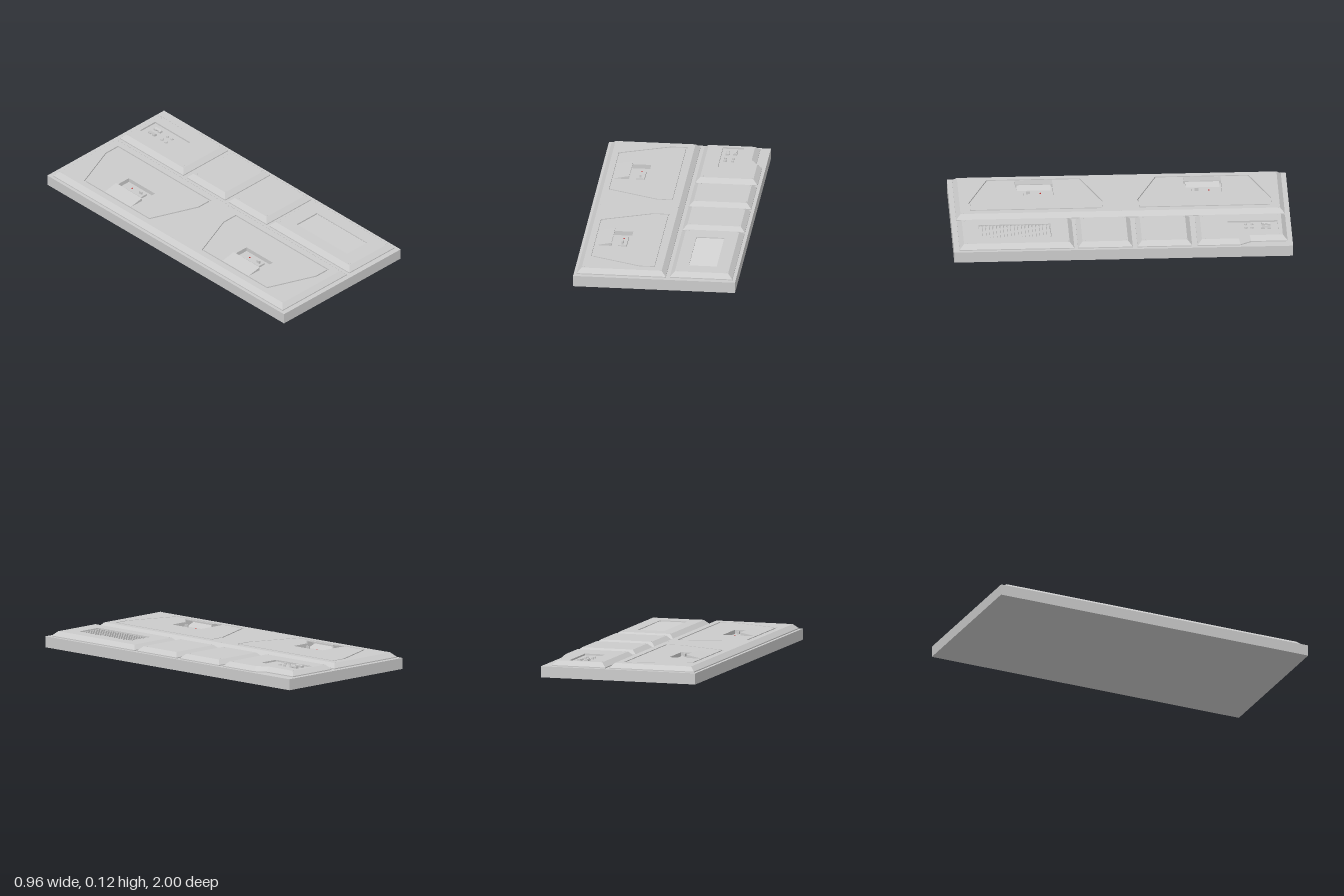
import * as THREE from 'three';

const BASE = 0.066, LIP = 0.072, TOP = 0.098;
const mat = new THREE.MeshStandardMaterial({ color: 0xcccccc, flatShading: true });
const red = new THREE.MeshStandardMaterial({ color: 0xd03030 });

// Rings are Vector2 (x, -z), counter-clockwise seen from above
const ring = pts => pts.map(([x, z]) => new THREE.Vector2(x, -z));
const rect = (x0, x1, z0, z1) => ring([[x0, z1], [x1, z1], [x1, z0], [x0, z0]]);

// Mitred inward offset of a ring
function inset(r, d) {
  const n = r.length;
  const normal = (a, b) => new THREE.Vector2(a.y - b.y, b.x - a.x).normalize();
  return r.map((p, i) => {
    const n1 = normal(r[(i + n - 1) % n], p), n2 = normal(p, r[(i + 1) % n]);
    return n1.clone().add(n2).multiplyScalar(d / (1 + n1.dot(n2))).add(p);
  });
}

function add(group, name, geo, x = 0, y = 0, z = 0, material = mat) {
  const m = new THREE.Mesh(geo, material);
  m.name = name;
  m.position.set(x, y, z);
  group.add(m);
  return m;
}

// Band between two rings; listing the upper ring first makes it face inward
function wall(group, name, a, ya, b, yb) {
  const v = [];
  a.forEach((p, i) => {
    const j = (i + 1) % a.length;
    const q = [[p, ya], [a[j], ya], [b[j], yb], [b[i], yb]];
    for (const k of [0, 1, 2, 0, 2, 3]) v.push(q[k][0].x, q[k][1], -q[k][0].y);
  });
  const g = new THREE.BufferGeometry();
  g.setAttribute('position', new THREE.Float32BufferAttribute(v, 3));
  g.computeVertexNormals();
  add(group, name, g);
}

// Flat upward face with holes
function face(group, name, outline, y, holes = []) {
  const s = new THREE.Shape(outline);
  s.holes = holes.map(h => new THREE.Path(h));
  add(group, name, new THREE.ShapeGeometry(s).rotateX(-Math.PI / 2), 0, y);
}

function recess(group, name, r, floorY) {
  wall(group, name + 'Walls', r, TOP, r, floorY);
  face(group, name + 'Floor', r, floorY);
}

// Raised panel with upright lip, bevelled rim and corner screws
function panel(name, outline, holes, screws) {
  const g = new THREE.Group();
  g.name = name;
  const top = inset(outline, 0.027);
  wall(g, 'lip', outline, BASE, outline, LIP);
  wall(g, 'bevel', outline, LIP, top, TOP);
  face(g, 'topFace', top, TOP, holes);
  const screw = new THREE.CylinderGeometry(0.008, 0.009, 0.002, 6);
  for (const [x, z] of screws) add(g, 'screw', screw, x, TOP + 0.001, z);
  return g;
}

// Pull handle: sloping hood over a sunken pocket with a latch
function handle(zc) {
  const g = new THREE.Group();
  g.name = 'pullHandle';
  const slab = (name, pts, depth, z) => add(g, name, new THREE.ExtrudeGeometry(
    new THREE.Shape(pts.map(p => new THREE.Vector2(...p))), { depth, bevelEnabled: false }), 0, 0, z);
  slab('hood', [[-0.387, TOP], [-0.36, TOP], [-0.295, 0.112], [-0.295, 0.117]], 0.22, zc - 0.11);
  for (const z of [zc - 0.11, zc + 0.102])
    slab('hoodCheek', [[-0.386, TOP - 0.001], [-0.296, TOP - 0.001], [-0.296, 0.1165]], 0.008, z);
  slab('pocketRamp', [[-0.357, 0.072], [-0.30, 0.072], [-0.357, 0.092]], 0.2, zc - 0.1);
  add(g, 'latchPlate', new THREE.BoxGeometry(0.05, 0.012, 0.13), -0.235, 0.078, zc);
  add(g, 'latchTab', new THREE.BoxGeometry(0.01, 0.018, 0.022), -0.235, 0.092, zc + 0.038);
  add(g, 'latchLamp', new THREE.CylinderGeometry(0.004, 0.004, 0.004, 8), -0.235, 0.086, zc - 0.035, red);
  return g;
}

export function createModel() {
  const model = new THREE.Group();
  model.name = 'wallPanel';
  add(model, 'backingSlab', new THREE.BoxGeometry(0.96, BASE, 2), 0, BASE / 2);

  // Large panel with two grooved hatches
  const hatches = [-0.5, 0.495].map(zc => ({
    zc,
    groove: ring([[0, zc + 0.395], [-0.1, zc + 0.395], [-0.398, zc + 0.275],
      [-0.398, zc - 0.275], [-0.1, zc - 0.395], [0, zc - 0.395]].reverse()),
    pocket: rect(-0.358, -0.188, zc - 0.111, zc + 0.111),
  }));
  const screws = [-0.425, 0.03].flatMap(x => [-0.93, 0, 0.93].map(z => [x, z]));
  const main = panel('hatchPanel', rect(-0.462, 0.066, -0.97, 0.97), hatches.map(h => h.groove), screws);
  for (const { zc, groove, pocket } of hatches) {
    const inner = inset(groove, 0.01);
    wall(main, 'grooveOuterWall', groove, TOP, groove, TOP - 0.008);
    face(main, 'grooveFloor', groove, TOP - 0.008, [inner]);
    wall(main, 'grooveInnerWall', inner, TOP - 0.008, inner, TOP);
    face(main, 'hatchFace', inner, TOP, [pocket]);
    recess(main, 'handlePocket', pocket, 0.072);
    main.add(handle(zc));
  }
  model.add(main);

  const corners = (z0, z1) => [[0.13, z0], [0.42, z0], [0.13, z1], [0.42, z1]];

  // Control panel with a notched corner
  const controlBay = rect(0.205, 0.33, -0.92, -0.625);
  const control = panel('controlPanel', ring([[0.09, -0.437], [0.46, -0.437], [0.46, -0.69],
    [0.42, -0.755], [0.42, -0.97], [0.09, -0.97]]), [controlBay],
  [[0.13, -0.93], [0.38, -0.93], [0.13, -0.477], [0.42, -0.477]]);
  recess(control, 'controlBay', controlBay, 0.088);
  for (const x of [0.24, 0.286]) {
    const dir = x < 0.26 ? 1 : -1;
    for (const z of [-0.868, -0.833])
      add(control, 'switchHousing', new THREE.BoxGeometry(0.022, 0.01, 0.02), x, 0.093, z);
    const toggle = add(control, 'switchRocker', new THREE.BoxGeometry(0.016, 0.006, 0.05), x, 0.0975, -0.85);
    toggle.rotation.z = -dir * 0.2;
    for (const z of [-0.767, -0.731])
      add(control, 'roundButton', new THREE.CylinderGeometry(0.008, 0.009, 0.01, 12), x - 0.004, 0.093, z);
  }
  model.add(control);

  // Two plain panels
  for (const [z0, z1] of [[-0.405, -0.083], [-0.055, 0.268]])
    model.add(panel('plainPanel', rect(0.09, 0.46, z0, z1), [], corners(z0 + 0.04, z1 - 0.04)));

  // Vent panel with slats
  const bay = rect(0.19, 0.355, 0.42, 0.845);
  const vent = panel('ventPanel', rect(0.09, 0.46, 0.29, 0.967), [bay], corners(0.33, 0.927));
  recess(vent, 'ventBay', bay, 0.074);
  const slat = new THREE.BoxGeometry(0.165, 0.004, 0.018).rotateX(0.5);
  for (let i = 0; i < 20; i++) add(vent, 'ventSlat', slat, 0.2725, 0.089, 0.433 + i * 0.021);
  model.add(vent);

  return model;
}
